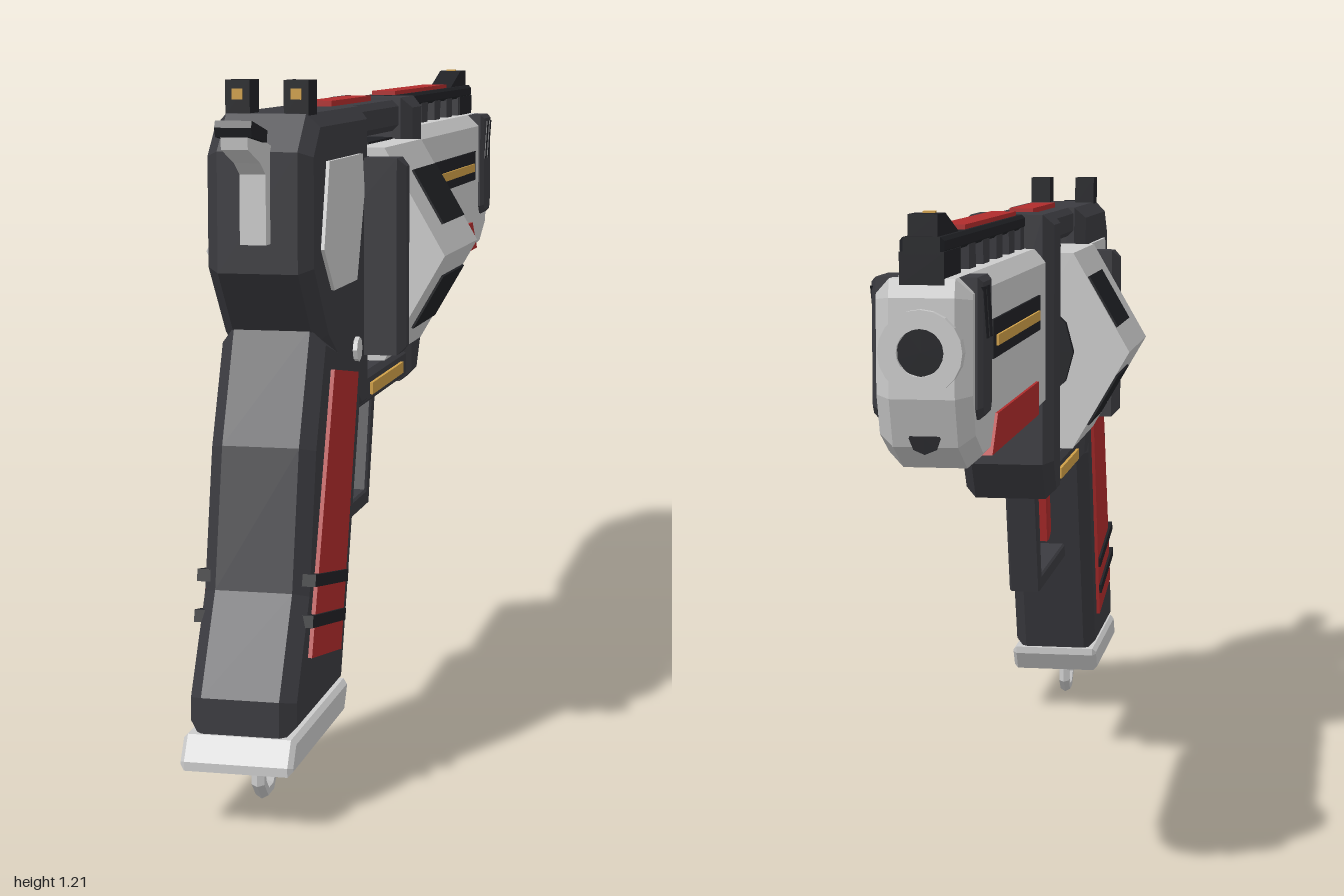
import * as THREE from 'three';

const mat = (color) => new THREE.MeshStandardMaterial({ color, flatShading: true });
const DARK = mat(0x3b3b40), BLACK = mat(0x202125), LIGHT = mat(0xcccccc), RED = mat(0xb02c2c), GOLD = mat(0xd0a048);

export function createModel() {
  const model = new THREE.Group();
  model.name = 'revolver';

  const add = (name, geometry, material, x = 0, y = 0, z = 0, parent = model) => {
    const mesh = new THREE.Mesh(geometry, material);
    mesh.name = name;
    mesh.position.set(x, y, z);
    parent.add(mesh);
    return mesh;
  };

  // Side outline given as [z, y] points, extruded to a half width in x with chamfered edges
  const profile = (name, points, half, bevel, material, x = 0) => {
    const shape = new THREE.Shape(points.map(([z, y]) => new THREE.Vector2(z, y)));
    const geometry = new THREE.ExtrudeGeometry(shape, {
      depth: 2 * (half - bevel), bevelEnabled: bevel > 0, bevelSize: bevel,
      bevelThickness: bevel, bevelOffset: -bevel, bevelSegments: 1,
    });
    geometry.translate(0, 0, -(half - bevel)).rotateY(-Math.PI / 2);
    return add(name, geometry, material, x);
  };
  // Box outline between two z and two y values
  const rect = (z0, z1, y0, y1) => [[z0, y0], [z1, y0], [z1, y1], [z0, y1]];
  // Round part along z
  const rod = (name, radius, z0, z1, y, sides, material, start = 0) => add(name,
    new THREE.CylinderGeometry(radius, radius, z1 - z0, sides, 1, false, start).rotateX(Math.PI / 2),
    material, 0, y, (z0 + z1) / 2);

  // Frame around the drum
  profile('rearFrame', [[0.39, 1.16], [0.78, 1.16], [0.84, 1.1], [0.84, 0.9], [0.73, 0.77],
    [0.46, 0.61], [0.39, 0.61]], 0.09, 0.022, DARK);
  profile('frontFrame', [[0.02, 1.165], [-0.11, 1.165], [-0.11, 0.68], [-0.06, 0.605], [0.02, 0.605]], 0.09, 0.02, DARK);
  profile('topStrap', rect(-0.02, 0.42, 1.1, 1.16), 0.066, 0.012, DARK);
  profile('bottomStrap', rect(-0.02, 0.44, 0.61, 0.67), 0.08, 0.01, DARK);
  profile('strapTrim', rect(0.06, 0.345, 0.628, 0.65), 0.086, 0, GOLD);
  profile('recoilShield', rect(0.385, 0.44, 0.715, 1.07), 0.165, 0.015, DARK);
  profile('framePanel', [[0.73, 1.08], [0.475, 1.08], [0.46, 1.01], [0.52, 0.86],
    [0.695, 0.86], [0.77, 0.935]], 0.096, 0, LIGHT);
  add('releaseButton', new THREE.BoxGeometry(0.03, 0.05, 0.1), RED, -0.098, 0.975, 0.56);
  add('framePin', new THREE.CylinderGeometry(0.022, 0.022, 0.196, 8).rotateZ(Math.PI / 2), LIGHT, 0, 0.735, 0.51);

  // Six-sided drum with a recess on each face
  rod('drum', 0.225, 0.025, 0.37, 0.89, 6, LIGHT, Math.PI / 6);
  rod('drumAxle', 0.115, 0.005, 0.39, 0.89, 12, BLACK);
  for (let i = 0; i < 6; i++) {
    const a = (i * Math.PI) / 3;
    const flute = add('drumRecess', new THREE.BoxGeometry(0.115, 0.008, 0.22), BLACK,
      -Math.sin(a) * 0.195, 0.89 + Math.cos(a) * 0.195, 0.145);
    flute.rotation.z = a;
  }

  // Barrel shroud and muzzle
  profile('barrel', [[-0.1, 1.1], [-0.975, 1.1], [-0.985, 1.07], [-0.985, 0.91], [-0.955, 0.83],
    [-0.87, 0.785], [-0.1, 0.785]], 0.078, 0.025, LIGHT);
  profile('barrelSlot', rect(-0.78, -0.225, 0.955, 1.02), 0.082, 0, BLACK);
  profile('barrelSlotTrim', rect(-0.75, -0.255, 0.975, 0.993), 0.086, 0, GOLD);
  profile('barrelStripe', [[-0.25, 0.86], [-0.74, 0.86], [-0.8, 0.797], [-0.25, 0.797]], 0.083, 0, RED);
  profile('muzzleClamp', [[-0.84, 1.1], [-0.94, 1.1], [-0.94, 0.89], [-0.925, 0.872],
    [-0.855, 0.872], [-0.84, 0.89]], 0.09, 0.008, DARK);
  for (const z of [-0.85, -0.885]) {
    profile('clampGroove', [[z, 1.0], [z - 0.015, 1.0], [z - 0.05, 1.085], [z - 0.03, 1.085]], 0.092, 0, BLACK);
  }
  const ring = new THREE.Shape().absarc(0, 0, 0.068, 0, Math.PI * 2);
  ring.holes.push(new THREE.Path().absarc(0, 0, 0.038, 0, Math.PI * 2, true));
  add('muzzleRing', new THREE.ExtrudeGeometry(ring, { depth: 0.03, bevelEnabled: false, curveSegments: 10 }),
    LIGHT, 0, 0.985, -1.0);
  rod('bore', 0.039, -0.992, -0.96, 0.985, 10, BLACK);
  rod('guideRod', 0.026, -0.962, -0.9, 0.845, 8, BLACK);

  // Vented rib over the barrel
  profile('rib', rect(-0.98, -0.09, 1.138, 1.165), 0.036, 0.006, BLACK);
  for (let i = 0; i < 6; i++) {
    const z = -0.125 - i * 0.145;
    profile('ribPost', [[z + 0.035, 1.09], [z - 0.03, 1.09], [z - 0.035, 1.145], [z + 0.035, 1.145]], 0.034, 0, DARK);
  }
  profile('ribFront', rect(-0.98, -0.83, 1.09, 1.142), 0.036, 0, BLACK);
  profile('ribStripe', rect(-0.72, -0.15, 1.15, 1.173), 0.024, 0, RED);
  profile('strapStripe', rect(0.08, 0.41, 1.15, 1.17), 0.024, 0, RED);

  // Sights
  profile('frontSight', [[-0.76, 1.16], [-0.9, 1.2], [-0.968, 1.2], [-0.968, 1.16]], 0.024, 0, BLACK);
  add('frontSightDot', new THREE.BoxGeometry(0.02, 0.006, 0.012), GOLD, 0, 1.2, -0.91);
  for (const s of [-1, 1]) {
    add('rearSight', new THREE.BoxGeometry(0.042, 0.06, 0.06), BLACK, s * 0.05, 1.185, 0.745);
    add('rearSightDot', new THREE.BoxGeometry(0.018, 0.018, 0.006), GOLD, s * 0.05, 1.192, 0.775);
  }

  // Hammer
  profile('hammer', [[0.98, 1.14], [0.9, 1.125], [0.81, 1.105], [0.81, 0.95], [0.868, 0.95],
    [0.868, 1.065], [0.9, 1.085], [0.975, 1.11]], 0.022, 0, LIGHT);
  profile('hammerSpur', [[0.985, 1.145], [0.98, 1.156], [0.885, 1.137], [0.888, 1.118], [0.98, 1.13]], 0.03, 0, BLACK);

  // Grip
  profile('grip', [[0.75, 0.8], [0.83, 0.61], [0.88, 0.375], [0.97, 0.215], [0.97, 0.145],
    [0.61, 0.145], [0.455, 0.62], [0.46, 0.72]], 0.09, 0.024, DARK);
  profile('gripPanel', [[0.7, 0.725], [0.515, 0.695], [0.655, 0.225], [0.87, 0.265]], 0.097, 0, RED);
  for (const y of [0.405, 0.34]) {
    const z = 0.86 + (0.405 - y) * 0.3;
    profile('gripBar', [[z, y], [z - 0.24, y - 0.045], [z - 0.235, y - 0.065], [z + 0.005, y - 0.02]], 0.102, 0, BLACK);
  }
  profile('gripBase', [[0.975, 0.155], [0.595, 0.155], [0.595, 0.14], [0.62, 0.1], [1.0, 0.1], [1.0, 0.115]],
    0.095, 0.008, LIGHT);
  add('lanyardRing', new THREE.TorusGeometry(0.042, 0.013, 6, 8).rotateZ(Math.PI / 8).rotateY(Math.PI / 2),
    LIGHT, 0, 0.056, 0.815);

  // Trigger and guard
  profile('triggerGuard', [[0.065, 0.63], [0.135, 0.378], [0.54, 0.378], [0.53, 0.41], [0.158, 0.41], [0.1, 0.63]],
    0.032, 0.004, DARK);
  profile('trigger', [[0.355, 0.62], [0.315, 0.62], [0.355, 0.445], [0.395, 0.46]], 0.02, 0.004, RED);

  return model;
}
